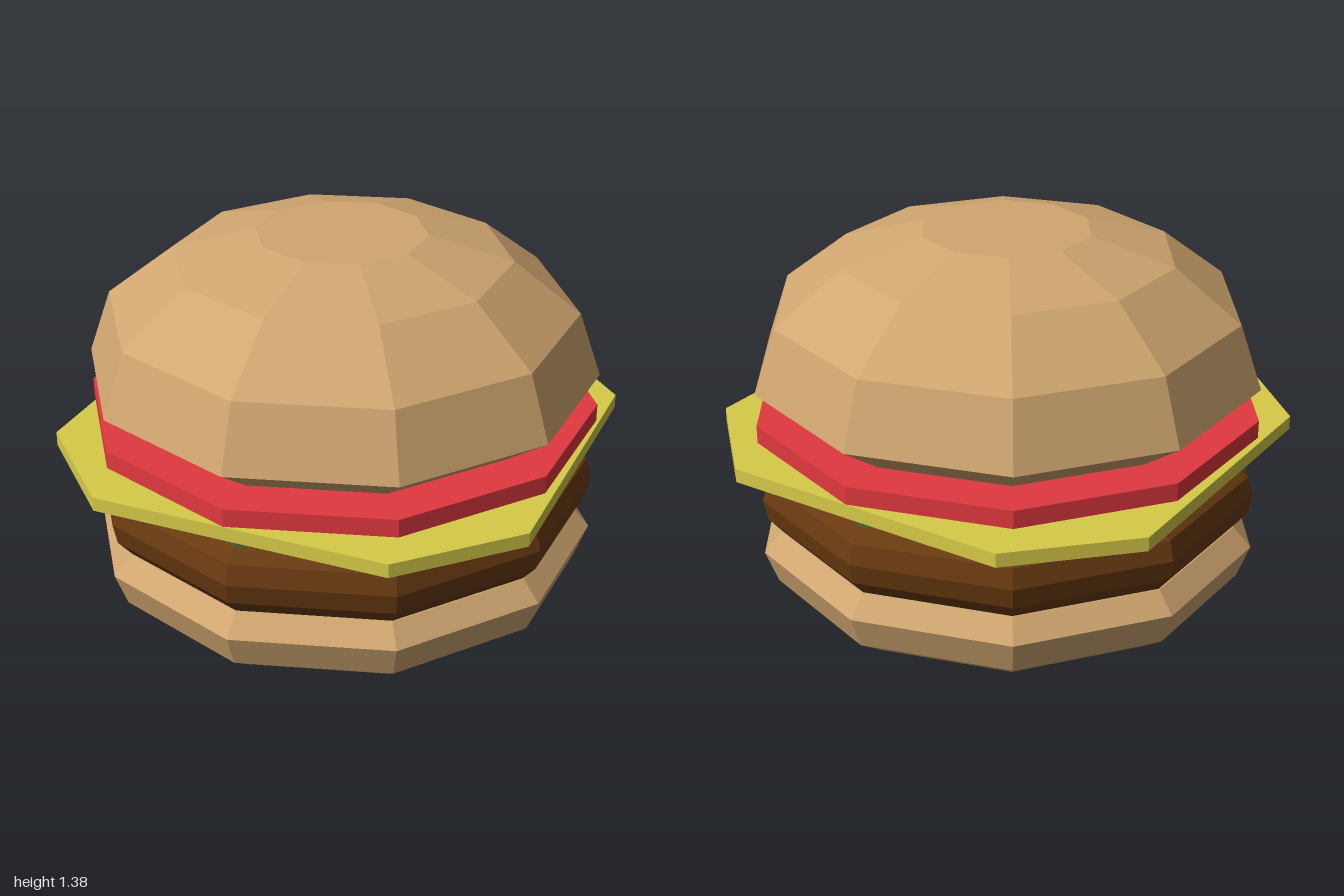
import * as THREE from 'three';

const SIDES = 10;

function material(name, color) {
  const m = new THREE.MeshStandardMaterial({ color });
  m.name = name;
  return m;
}

// Faceted mesh: unshared vertices give every face its own normal
function facetedMesh(name, geometry, mat) {
  const flat = geometry.index ? geometry.toNonIndexed() : geometry;
  flat.computeVertexNormals();
  const mesh = new THREE.Mesh(flat, mat);
  mesh.name = name;
  return mesh;
}

// Ten-sided closed layer from [radius, height] pairs, bottom to top
function layer(name, profile, mat) {
  const bottom = profile[0][1];
  const top = profile[profile.length - 1][1];
  const points = [[0, bottom], ...profile, [0, top]].map(([r, y]) => new THREE.Vector2(r, y));
  return facetedMesh(name, new THREE.LatheGeometry(points, SIDES), mat);
}

export function createModel() {
  const bun = material('bun tan', 0xd0a670);
  const meat = material('patty brown', 0x693a10);
  const green = material('lettuce green', 0x41703c);
  const yellow = material('cheese yellow', 0xd6ca48);
  const red = material('tomato red', 0xe0383f);

  const group = new THREE.Group();
  group.name = 'burger';

  // Bottom bun, patty and lettuce
  group.add(layer('bottomBun',
    [[0.575, 0], [0.76, 0.07], [0.865, 0.145], [0.91, 0.267], [0.845, 0.34]], bun));
  group.add(layer('patty',
    [[0.84, 0.34], [0.89, 0.4], [0.905, 0.475], [0.885, 0.545], [0.83, 0.588]], meat));
  group.add(layer('lettuce', [[0.835, 0.588], [0.835, 0.628]], green));

  // Cheese slice: turned square with clipped corners
  const corners = [];
  for (let i = 0; i < 4; i++) {
    for (const [x, y] of [[0.2, 1], [0.645, 0.79]]) {
      corners.push(new THREE.Vector2(x, y).rotateAround(new THREE.Vector2(), -i * Math.PI / 2));
    }
  }
  const slice = new THREE.ExtrudeGeometry(new THREE.Shape(corners), { depth: 0.05, bevelEnabled: false });
  slice.rotateX(-Math.PI / 2).translate(0, 0.627, 0);
  group.add(facetedMesh('cheese', slice, yellow));

  // Thin filling between cheese and tomato
  group.add(layer('filling', [[0.83, 0.675], [0.83, 0.703]], bun));

  // Tomato and top bun
  group.add(layer('tomato', [[0.91, 0.703], [0.91, 0.767]], red));
  group.add(layer('topBun',
    [[0.74, 0.765], [0.91, 0.885], [0.83, 1.115], [0.595, 1.297], [0.3, 1.38]], bun));

  return group;
}
